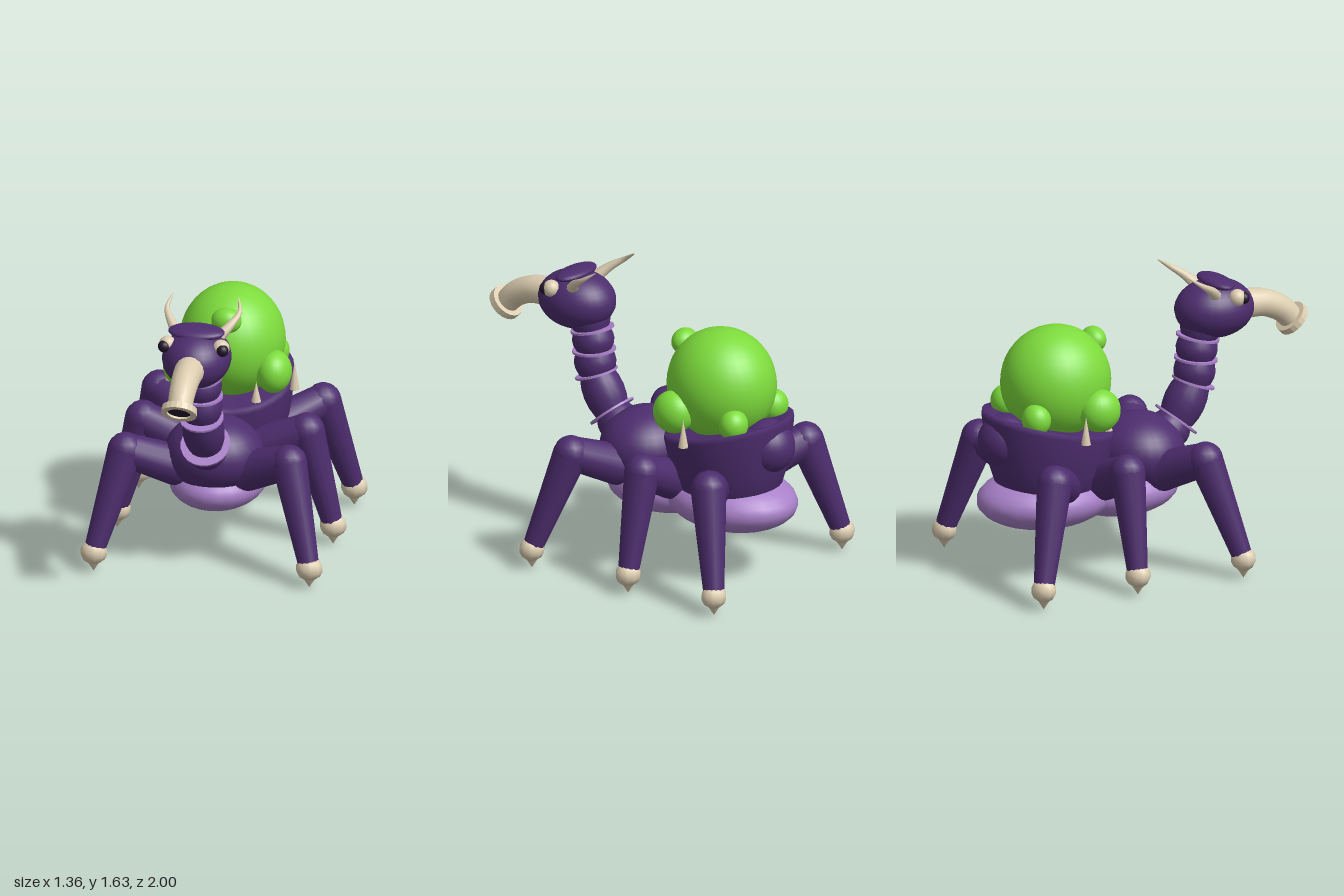
import * as THREE from 'three';

const mat = (name, color) => {
  const m = new THREE.MeshStandardMaterial({ color });
  m.name = name;
  return m;
};
const V = (x, y, z) => new THREE.Vector3(x, y, z);
const UP = V(0, 1, 0);

export function createModel() {
  const purple = mat('purple skin', 0x4d2d6e);
  const lavender = mat('lavender underside', 0xa880c8);
  const green = mat('green sac', 0x7ddb3c);
  const bone = mat('bone', 0xdccdb0);
  const dark = mat('dark', 0x21152b);

  const model = new THREE.Group();
  model.name = 'creature';

  const add = (name, geometry, material, parent = model) => {
    const m = new THREE.Mesh(geometry, material);
    m.name = name;
    parent.add(m);
    return m;
  };
  const ball = (name, material, p, r, seg = 24, parent = model) => {
    const m = add(name, new THREE.SphereGeometry(1, seg, Math.ceil(seg * 0.67)), material, parent);
    m.position.set(...p);
    m.scale.set(...(Array.isArray(r) ? r : [r, r, r]));
    return m;
  };
  // Turn an upright mesh so that it runs along a direction
  const aim = (mesh, position, direction) => {
    mesh.position.copy(position);
    mesh.quaternion.setFromUnitVectors(UP, direction.clone().normalize());
    return mesh;
  };
  const limb = (name, a, b, ra, rb, material, parent) => {
    const d = b.clone().sub(a);
    const g = new THREE.CylinderGeometry(rb, ra, d.length(), 14);
    return aim(add(name, g, material, parent), a.clone().lerp(b, 0.5), d);
  };
  // Curved tube whose radius runs from r0 to r1
  const taper = (name, points, r0, r1, material, n = 12, sides = 16) => {
    const curve = new THREE.CatmullRomCurve3(points);
    const g = new THREE.TubeGeometry(curve, n, 1, sides);
    const pos = g.attributes.position, v = V(0, 0, 0);
    for (let i = 0; i <= n; i++) {
      const c = curve.getPointAt(i / n), r = r0 + (r1 - r0) * i / n;
      for (let j = 0; j <= sides; j++) {
        const k = i * (sides + 1) + j;
        v.fromBufferAttribute(pos, k).sub(c).multiplyScalar(r).add(c);
        pos.setXYZ(k, v.x, v.y, v.z);
      }
    }
    return add(name, g, material);
  };

  // Underside and thorax
  ball('frontBelly', lavender, [0, 0.42, -0.14], [0.27, 0.15, 0.34]);
  ball('rearBelly', lavender, [0, 0.43, -0.6], [0.31, 0.165, 0.39]);
  ball('thorax', purple, [0, 0.62, -0.02], [0.275, 0.21, 0.25], 28);

  // Abdomen: a bowl whose rim rises to the rear
  const bowl = new THREE.LatheGeometry([
    [0, 0.43], [0.22, 0.43], [0.265, 0.5], [0.305, 0.62], [0.32, 0.74],
    [0.335, 0.84], [0.33, 0.87], [0.29, 0.86], [0, 0.84],
  ].map(p => new THREE.Vector2(...p)), 28);
  bowl.scale(1, 1, 1.11);
  const bp = bowl.attributes.position;
  for (let i = 0; i < bp.count; i++) {
    const y = bp.getY(i);
    bp.setY(i, y - bp.getZ(i) * 0.24 * (y - 0.43) / 0.43);
  }
  bowl.computeVertexNormals();
  add('abdomen', bowl, purple).position.z = -0.58;
  ball('tailBump', purple, [0, 0.79, -0.84], 0.153);

  // Sac and its knobs
  ball('sac', green, [0, 1.09, -0.53], [0.292, 0.315, 0.31], 32);
  ball('frontKnob', green, [0.015, 1.29, -0.29], [0.085, 0.072, 0.068]);
  for (const s of [-1, 1]) {
    ball('sideKnob', green, [s * 0.26, 0.97, -0.39], [0.1, 0.12, 0.12]);
    ball('rearKnob', green, [s * 0.19, 0.95, -0.745], [0.085, 0.09, 0.08]);
    // Rim spikes
    for (const [x, y, z, h] of [[0.35, 0.82, -0.52, 0.16], [0.18, 0.82, -0.3, 0.115]]) {
      const spike = add('rimSpike', new THREE.ConeGeometry(0.028, h, 8), bone);
      spike.position.set(s * x, y + h / 2, z);
    }
  }

  // Neck: bulging segments parted by thin collars
  const neck = [[0.66, 0.13], [0.755, 0.212], [0.955, 0.318], [1.09, 0.333], [1.212, 0.345], [1.34, 0.385]]
    .map(([y, z]) => V(0, y, z));
  for (let i = 0; i < neck.length - 1; i++) {
    const a = neck[i], d = neck[i + 1].clone().sub(a), L = d.length();
    const profile = [[0.097, 0], [0.112, 0.25], [0.117, 0.5], [0.112, 0.75], [0.097, 1]]
      .map(([r, t]) => new THREE.Vector2(r, t * L));
    aim(add('neckSegment', new THREE.LatheGeometry(profile, 20), purple), a, d);
    if (i > 0) {
      const along = neck[i + 1].clone().sub(neck[i - 1]);
      if (i === 1) along.set(0, 0.77, 0.64);
      const r = i === 1 ? 0.138 : 0.122;
      aim(add('neckCollar', new THREE.CylinderGeometry(r, r, 0.012, 20), lavender), a, along);
    }
  }

  // Head and brow
  ball('head', purple, [0, 1.367, 0.447], [0.19, 0.165, 0.228], 28);
  ball('brow', purple, [0, 1.52, 0.455], [0.158, 0.033, 0.085]).rotation.x = 0.12;

  // Snout with a flared, hollow end
  taper('snout', [V(0, 1.365, 0.62), V(0, 1.352, 0.75), V(0, 1.3, 0.86), V(0, 1.24, 0.92)], 0.084, 0.068, bone);
  const nozzle = new THREE.Group();
  nozzle.name = 'nozzle';
  model.add(nozzle);
  aim(nozzle, V(0, 1.235, 0.925), V(0, -0.7, 0.7));
  const lip = [[0.066, -0.018], [0.098, -0.018], [0.1, 0.02], [0.066, 0.02], [0.066, -0.018]]
    .map(p => new THREE.Vector2(...p));
  const lipGeo = new THREE.LatheGeometry(lip, 20).toNonIndexed();
  lipGeo.computeVertexNormals();
  add('lip', lipGeo, bone, nozzle);
  const hole = add('nozzleHole', new THREE.CircleGeometry(0.068, 20), dark, nozzle);
  hole.rotation.x = -Math.PI / 2;
  hole.position.y = 0.008;

  for (const s of [-1, 1]) {
    // Eyes and horns
    ball('eye', bone, [s * 0.15, 1.457, 0.515], 0.048, 16);
    ball('pupil', dark, [s * 0.164, 1.455, 0.545], 0.034, 14);
    taper('horn', [V(s * 0.1, 1.46, 0.41), V(s * 0.165, 1.525, 0.345),
      V(s * 0.203, 1.575, 0.27), V(s * 0.183, 1.63, 0.19)], 0.037, 0.003, bone, 10, 10);

    // Legs: hip z, knee z, foot z
    const legs = [['frontLeg', 0.03, 0.16, 0.32], ['middleLeg', -0.33, -0.32, -0.33], ['rearLeg', -0.6, -0.77, -0.91]];
    for (const [name, hz, kz, fz] of legs) {
      const leg = new THREE.Group();
      leg.name = name;
      model.add(leg);
      const hip = V(s * 0.2, 0.545, hz), knee = V(s * 0.46, 0.665, kz), foot = V(s * 0.605, 0.11, fz);
      ball('hip', purple, hip.toArray(), 0.115, 16, leg);
      limb('thigh', hip, knee, 0.115, 0.094, purple, leg);
      ball('knee', purple, knee.toArray(), 0.099, 14, leg);
      limb('shin', knee, foot, 0.099, 0.056, purple, leg);
      ball('foot', bone, foot.toArray(), [0.076, 0.068, 0.07], 10, leg);
      const claw = add('claw', new THREE.ConeGeometry(0.042, 0.065, 10), bone, leg);
      claw.position.set(foot.x, 0.0325, foot.z);
      claw.rotation.x = Math.PI;
    }
  }
  return model;
}
